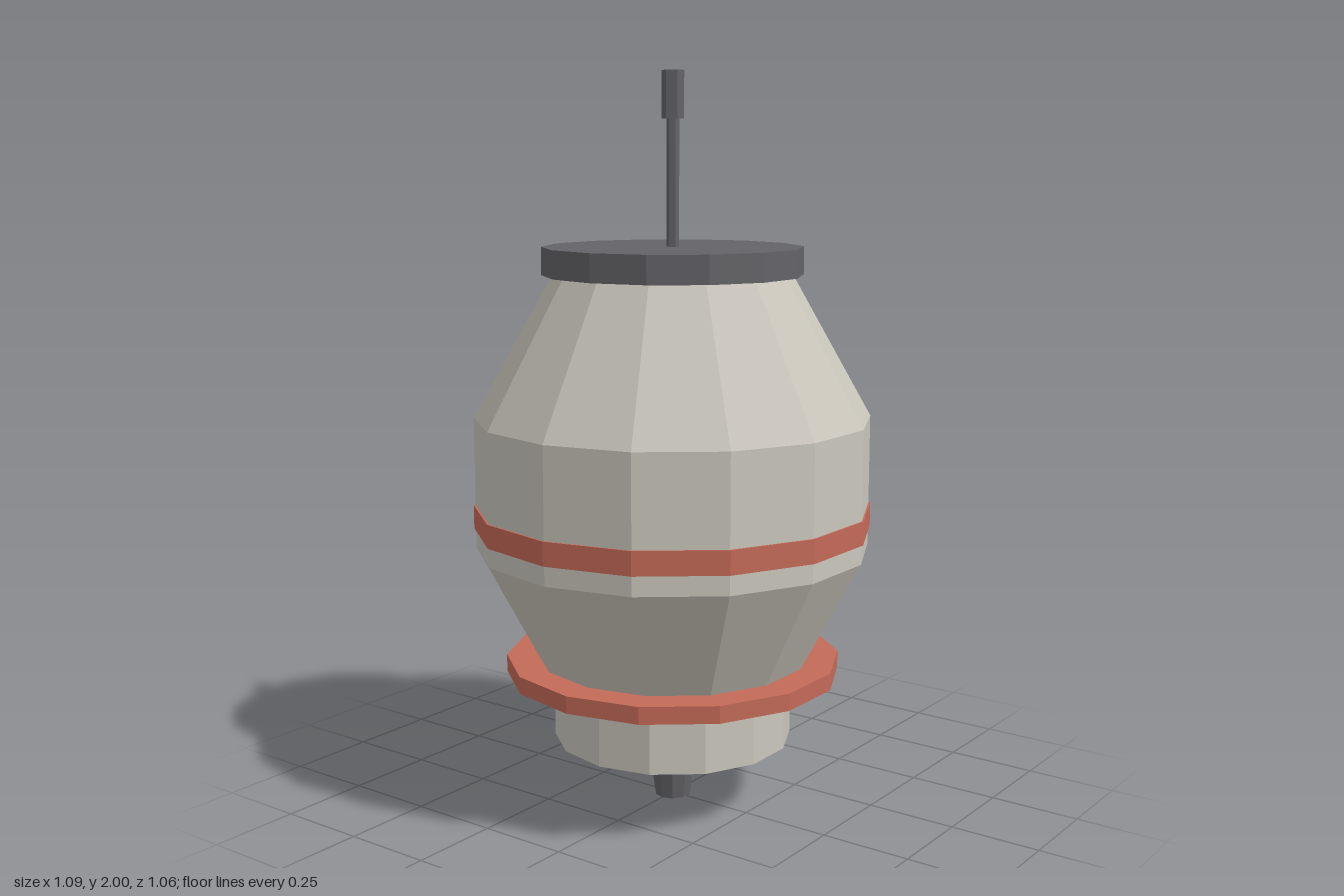
import * as THREE from 'three';

export function createModel() {
  const model = new THREE.Group();
  model.name = 'canister';

  const flat = (name, color) => {
    const m = new THREE.MeshStandardMaterial({ color, flatShading: true });
    m.name = name;
    return m;
  };
  const beige = flat('warm grey', 0xcac6bc);
  const red = flat('faded red', 0xc46a58);
  const dark = flat('dark grey', 0x646468);

  // Faceted drum from y0 to y1, with a corner pointing along +x
  const drum = (name, material, y0, y1, r0, r1, sides = 14, open = false) => {
    const geometry = new THREE.CylinderGeometry(r1, r0, y1 - y0, sides, 1, open);
    geometry.rotateY(Math.PI / 2);
    const mesh = new THREE.Mesh(geometry, material);
    mesh.name = name;
    mesh.position.y = (y0 + y1) / 2;
    model.add(mesh);
  };

  // Nozzle and base
  drum('nozzle', dark, 0, 0.18, 0.05, 0.075, 10);
  drum('base', beige, 0.18, 0.345, 0.33, 0.33);

  // Barrel body as one closed faceted profile
  const profile = [[0, 0.34], [0.338, 0.34], [0.54, 0.72], [0.54, 1.08], [0.32, 1.47], [0, 1.47]];
  const bodyGeometry = new THREE.LatheGeometry(profile.map(([r, y]) => new THREE.Vector2(r, y)), 14);
  bodyGeometry.rotateY(Math.PI / 2);
  const body = new THREE.Mesh(bodyGeometry, beige);
  body.name = 'body';
  model.add(body);

  // Red collar and waist band
  drum('collar', red, 0.365, 0.412, 0.462, 0.462);
  drum('waistBand', red, 0.773, 0.837, 0.545, 0.545);

  // Lid and antenna
  drum('lid', dark, 1.465, 1.54, 0.352, 0.352);
  drum('antennaRod', dark, 1.54, 1.88, 0.017, 0.017, 6);
  drum('antennaTip', dark, 1.875, 2, 0.03, 0.03, 6);

  return model;
}
